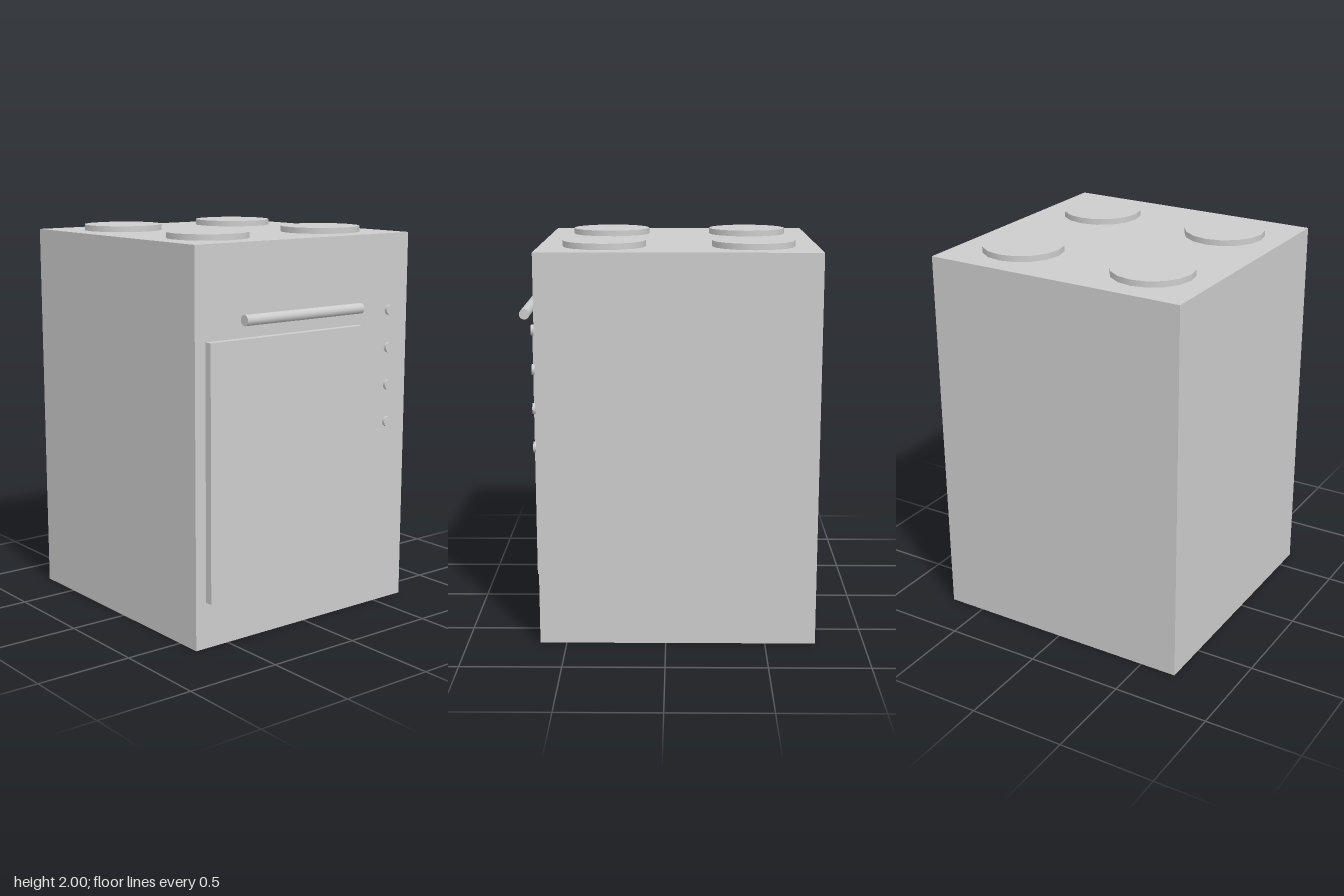
import * as THREE from 'three';

export function createModel() {
  const stove = new THREE.Group();
  stove.name = 'stove';

  const enamel = new THREE.MeshStandardMaterial({ color: 0xcccccc });
  enamel.name = 'grey enamel';

  function add(name, geometry, x, y, z) {
    const mesh = new THREE.Mesh(geometry, enamel);
    mesh.name = name;
    mesh.position.set(x, y, z);
    stove.add(mesh);
    return mesh;
  }

  // Cabinet and the oven door standing just proud of it
  add('cabinet', new THREE.BoxGeometry(1.388, 1.97, 1.388), 0, 0.985, -0.06);
  add('ovenDoor', new THREE.BoxGeometry(0.97, 1.278, 0.041), -0.152, 0.876, 0.66);

  // Horizontal bar handle above the door
  const handle = new THREE.CylinderGeometry(0.027, 0.027, 0.748, 16).rotateZ(Math.PI / 2);
  add('doorHandle', handle, -0.099, 1.613, 0.727);

  // Four hot plates on the top
  const plate = new THREE.CylinderGeometry(0.207, 0.207, 0.04, 16);
  for (const x of [-0.37, 0.37]) {
    for (const z of [-0.433, 0.308]) add('hotPlate', plate, x, 1.98, z);
  }

  // Column of control knobs beside the door
  const knob = new THREE.CylinderGeometry(0.027, 0.027, 0.016, 16).rotateX(Math.PI / 2);
  for (let i = 0; i < 4; i++) add('controlKnob', knob, 0.551, 1.576 - i * 0.197, 0.654);

  return stove;
}
